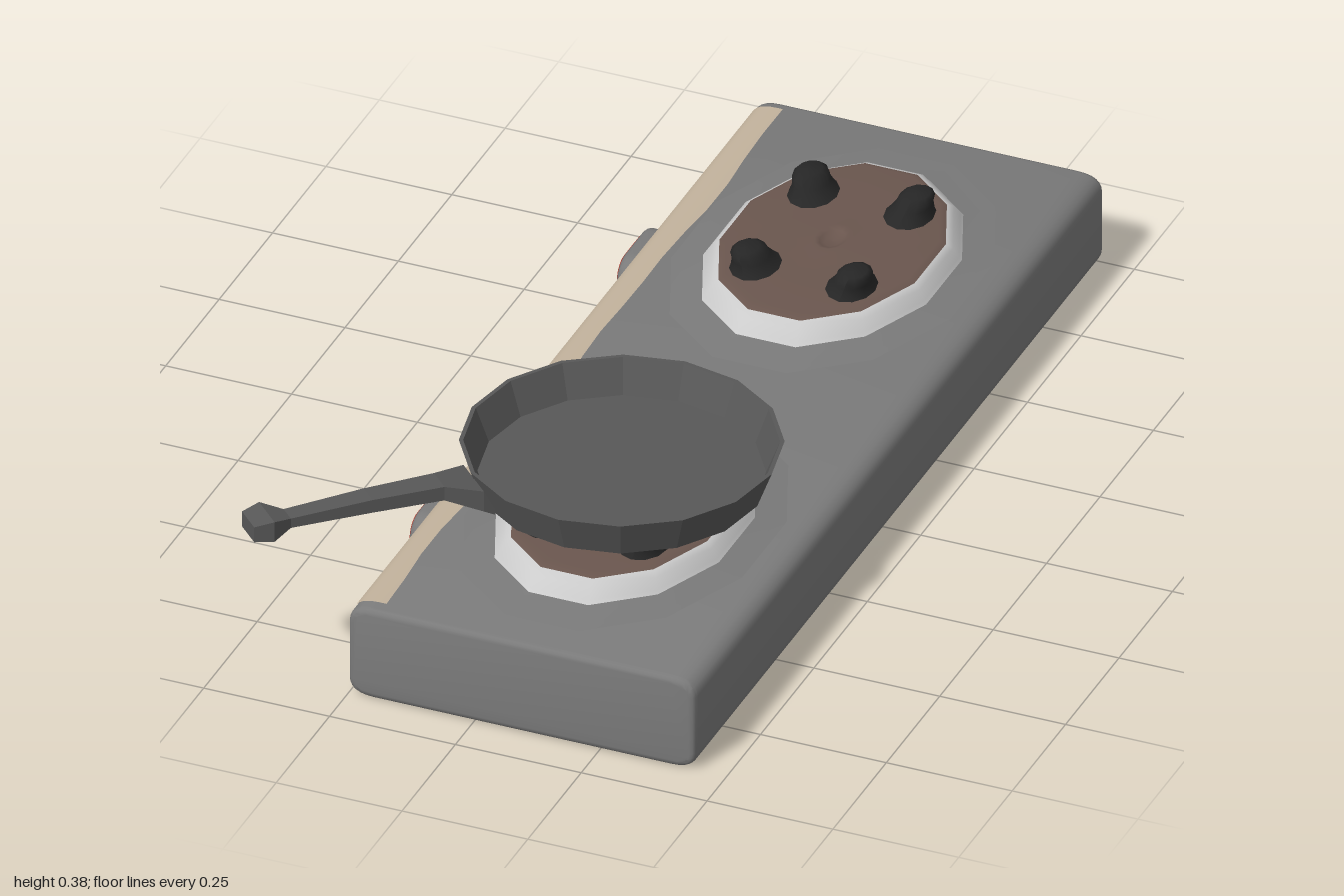
import * as THREE from 'three';
import { toCreasedNormals } from 'three/addons/utils/BufferGeometryUtils.js';

const V = (pts) => pts.map(([x, y]) => new THREE.Vector2(x, y));
const mat = (color, extra = {}) => new THREE.MeshStandardMaterial({ color, ...extra });
const steel = mat(0x7a7a7a), pale = mat(0xd0d0d0), brown = mat(0x6a564e), black = mat(0x262626);
const red = mat(0xa83428), tan = mat(0xc2b29c, { side: THREE.DoubleSide });
const iron = mat(0x585858, { flatShading: true });

function add(parent, name, geometry, material, x = 0, y = 0, z = 0) {
  const mesh = new THREE.Mesh(geometry, material);
  mesh.name = name;
  mesh.position.set(x, y, z);
  parent.add(mesh);
  return mesh;
}

// Casing: rounded cross-section run along z with a small end bevel
function casing() {
  const l = -0.25, r = 0.44, t = 0.19, rx = 0.05, ry = 0.035, b = 0.012;
  const s = new THREE.Shape();
  s.moveTo(l + rx, 0).lineTo(r - rx, 0).quadraticCurveTo(r, 0, r, ry);
  s.lineTo(r, t - ry).quadraticCurveTo(r, t, r - rx, t);
  s.lineTo(l + rx, t).quadraticCurveTo(l, t, l, t - ry);
  s.lineTo(l, ry).quadraticCurveTo(l, 0, l + rx, 0);
  const g = new THREE.ExtrudeGeometry(s, {
    depth: 1.915 - 2 * b, bevelSize: b, bevelOffset: -b, bevelThickness: b, bevelSegments: 3, curveSegments: 6,
  });
  g.translate(0, 0, -1 + b);
  return toCreasedNormals(g, 0.6);
}

// Worn strip that follows the casing's upper edge, with a wavy inner side
function wornStrip() {
  const edge = new THREE.QuadraticBezierCurve(...V([[-0.252, 0.155], [-0.252, 0.192], [-0.2, 0.192]]));
  const g = new THREE.PlaneGeometry(1, 1, 6, 20);
  const p = g.attributes.position;
  for (let i = 0; i < p.count; i++) {
    const u = p.getX(i) + 0.5, z = -0.045 - p.getY(i) * 1.86;
    const q = edge.getPoint(0.35 + 0.65 * Math.min(u * 1.2, 1));
    const inner = -0.187 + 0.006 * Math.sin(z * 7) + 0.003 * Math.sin(z * 17);
    p.setXYZ(i, u > 0.99 ? inner : q.x, q.y, z);
  }
  g.computeVertexNormals();
  return g;
}

// Twelve-sided oval ring or plate
const oval = (profile) => new THREE.LatheGeometry(V(profile), 12, Math.PI / 12).scale(1.03, 1, 1.46);

// Pan support stud whose base leans towards the burner's middle
function stud(sx, sz) {
  const h = 0.048;
  const g = new THREE.LatheGeometry(V([[0.05, 0], [0.042, 0.01], [0.034, 0.026], [0.032, 0.039], [0.022, 0.046], [0, h]]), 12);
  g.scale(1, 1, 1.3);
  const p = g.attributes.position;
  for (let i = 0; i < p.count; i++) {
    const k = 1 - p.getY(i) / h;
    p.setX(i, p.getX(i) - sx * 0.014 * k);
    p.setZ(i, p.getZ(i) - sz * 0.014 * k);
  }
  g.computeVertexNormals();
  return g;
}

function burner(z) {
  const g = new THREE.Group();
  g.name = 'burner';
  g.position.set(0.1, 0, z);
  add(g, 'burnerMound', oval([[0.295, 0.188], [0.26, 0.192], [0.222, 0.198]]), steel);
  add(g, 'burnerCollar', oval([[0.224, 0.196], [0.218, 0.204], [0.207, 0.222], [0.197, 0.23], [0.185, 0.234]]), pale);
  add(g, 'burnerPlate', oval([[0.198, 0.229], [0.183, 0.237], [0.1, 0.238], [0.036, 0.238],
    [0.03, 0.242], [0.022, 0.238], [0.014, 0.233], [0, 0.232]]), brown);
  for (const sx of [-1, 1]) for (const sz of [-1, 1])
    add(g, 'panSupport', stud(sx, sz), black, sx * 0.108, 0.233, sz * 0.148);
  return g;
}

// Oblong slab with rounded ends, extruded towards -x
function slab(halfLength, halfHeight, depth, bevel) {
  const s = new THREE.Shape(), c = halfLength - halfHeight;
  s.absarc(c, 0, halfHeight, -Math.PI / 2, Math.PI / 2);
  s.absarc(-c, 0, halfHeight, Math.PI / 2, Math.PI * 1.5);
  const g = new THREE.ExtrudeGeometry(s, {
    depth: depth - bevel, bevelSize: bevel, bevelOffset: -bevel, bevelThickness: bevel, bevelSegments: 3, curveSegments: 8,
  });
  return toCreasedNormals(g.rotateY(-Math.PI / 2), 0.7);
}

function knob(z) {
  const g = new THREE.Group();
  g.name = 'knob';
  g.position.set(-0.247, 0.095, z);
  add(g, 'knobBase', slab(0.1, 0.052, 0.008, 0.004), steel);
  add(g, 'knobBody', slab(0.086, 0.046, 0.047, 0.012), steel);
  add(g, 'knobFace', slab(0.072, 0.036, 0.05, 0.003), red);
  return g;
}

// Handle: rectangular sections [distance, half width, bottom, top] joined in a loft
function panHandle() {
  const sections = [
    [0.27, 0.05, 0.3, 0.312], [0.292, 0.05, 0.312, 0.355], [0.36, 0.026, 0.338, 0.367], [0.5, 0.022, 0.342, 0.369],
    [0.66, 0.018, 0.344, 0.364], [0.7, 0.038, 0.335, 0.377], [0.737, 0.03, 0.338, 0.37],
  ];
  const pos = [], idx = [];
  for (const [d, w, lo, hi] of sections) pos.push(-w, lo, d, w, lo, d, w, hi, d, -w, hi, d);
  const last = (sections.length - 1) * 4;
  for (let s = 0; s < last; s += 4) for (let k = 0; k < 4; k++) {
    const a = s + k, b = s + (k + 1) % 4;
    idx.push(a, b, b + 4, a, b + 4, a + 4);
  }
  idx.push(0, 2, 1, 0, 3, 2, last, last + 1, last + 2, last, last + 2, last + 3);
  const g = new THREE.BufferGeometry();
  g.setAttribute('position', new THREE.Float32BufferAttribute(pos, 3));
  g.setIndex(idx);
  g.computeVertexNormals();
  return g;
}

function fryingPan() {
  const g = new THREE.Group();
  g.name = 'fryingPan';
  g.position.set(0.1, 0, 0.457);
  add(g, 'panBowl', new THREE.LatheGeometry(V([[0, 0.292], [0.269, 0.292], [0.298, 0.368],
    [0.29, 0.368], [0.264, 0.302], [0, 0.302]]), 16), iron);
  add(g, 'panHandle', panHandle(), iron).rotation.y = -Math.PI / 4;
  return g;
}

export function createModel() {
  const model = new THREE.Group();
  model.name = 'camping stove';
  add(model, 'casing', casing(), steel);
  add(model, 'wornStrip', wornStrip(), tan);
  for (const z of [-0.53, 0.44]) model.add(burner(z), knob(z + 0.005));
  model.add(fryingPan());
  return model;
}
